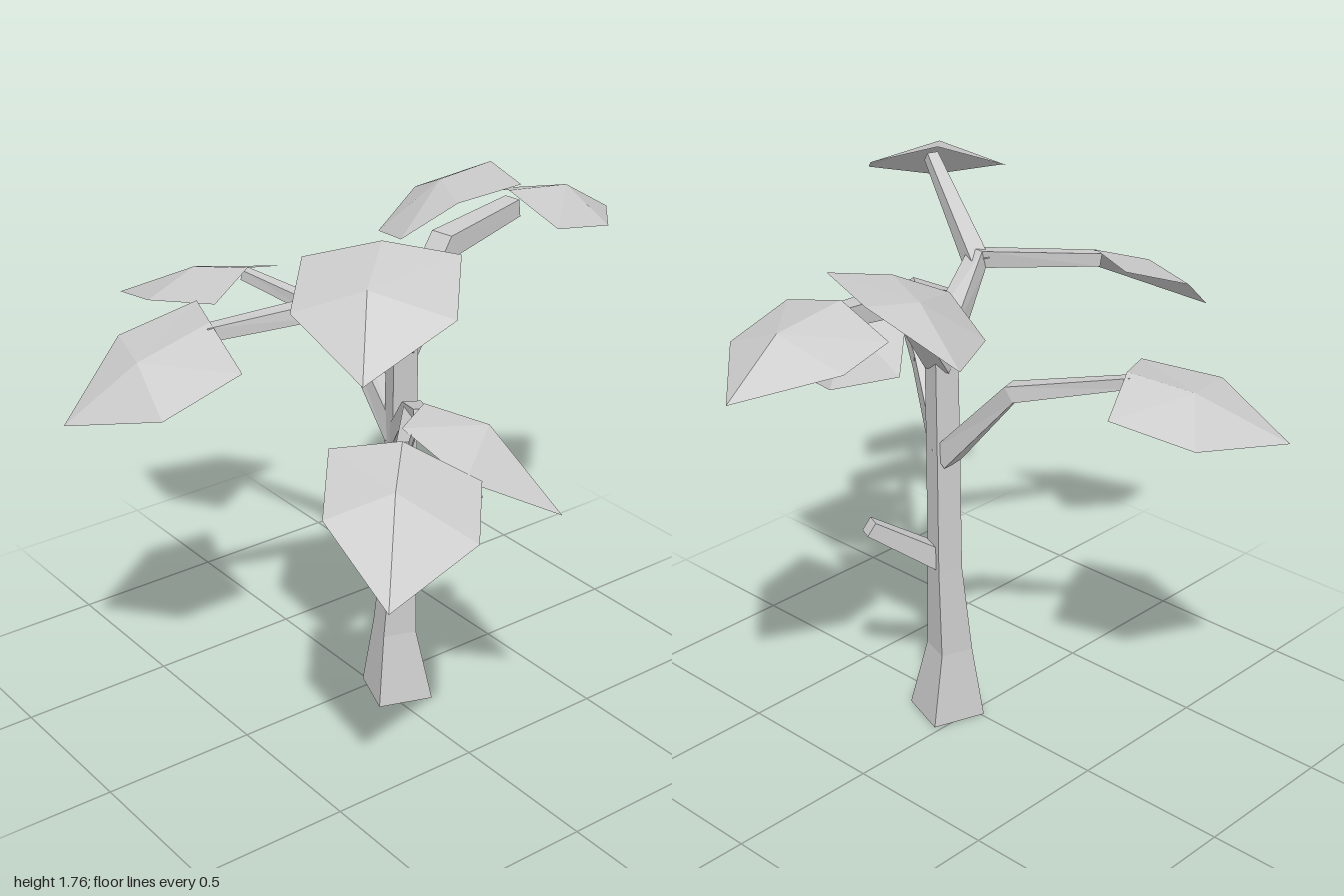
import * as THREE from 'three';

const material = new THREE.MeshStandardMaterial({ color: 0xcccccc, flatShading: true, side: THREE.DoubleSide });

function makeMesh(name, positions, index) {
  let geometry = new THREE.BufferGeometry();
  geometry.setAttribute('position', new THREE.Float32BufferAttribute(positions, 3));
  geometry.setIndex(index);
  geometry = geometry.toNonIndexed();
  geometry.computeVertexNormals();
  const mesh = new THREE.Mesh(geometry, material);
  mesh.name = name;
  return mesh;
}

// Four-sided tapered limb through stations [x, y, z, radius].
// Upright limbs keep level rings; others turn with the path.
function limb(name, stations, spin = Math.PI / 4, upright = false) {
  const centres = stations.map(([x, y, z]) => new THREE.Vector3(x, y, z));
  const up = new THREE.Vector3(0, 1, 0);
  const positions = [], index = [], last = stations.length - 1;
  centres.forEach((c, i) => {
    const before = c.clone().sub(centres[Math.max(i - 1, 0)]).normalize();
    const after = centres[Math.min(i + 1, last)].clone().sub(c).normalize();
    const t = upright ? up : before.add(after).normalize();
    const u = upright ? new THREE.Vector3(1, 0, 0) : up.clone().cross(t).normalize();
    const v = t.clone().cross(u);
    for (let k = 0; k < 4; k++) {
      const a = spin + k * Math.PI / 2, r = stations[i][3];
      const p = c.clone().addScaledVector(u, r * Math.cos(a)).addScaledVector(v, r * Math.sin(a));
      positions.push(p.x, p.y, p.z);
    }
  });
  for (let i = 0; i < last; i++) {
    for (let k = 0; k < 4; k++) {
      const a = i * 4 + k, b = i * 4 + (k + 1) % 4;
      index.push(a, b, b + 4, a, b + 4, a + 4);
    }
  }
  const e = last * 4;
  index.push(0, 2, 1, 0, 3, 2, e, e + 1, e + 2, e, e + 2, e + 3);
  return makeMesh(name, positions, index);
}

// Folded leaf: a fan around a raised centre.
// Outline order: stem, base corner, side, tip, side, base corner.
function leaf(name, centre, outline) {
  const index = [];
  for (let i = 0; i < 6; i++) index.push(0, 1 + i, 1 + (i + 1) % 6);
  // Keep the upper face as the front
  let area = 0;
  outline.forEach((p, i) => {
    const q = outline[(i + 1) % 6];
    area += p[2] * q[0] - p[0] * q[2];
  });
  if (area < 0) index.reverse();
  return makeMesh(name, [centre, ...outline].flat(), index);
}

export function createModel() {
  const tree = new THREE.Group();
  tree.name = 'tree';

  // Trunk with a flared foot
  tree.add(limb('trunk', [
    [0.045, 0, 0.075, 0.127], [0.037, 0.24, 0.07, 0.077], [0.05, 0.54, 0.077, 0.058],
    [0.045, 0.9, 0.085, 0.056], [0.035, 1.3, 0.1, 0.054],
  ], -1.124, true));

  // Branches
  const branches = {
    stubBranch: [[0.05, 0.56, 0.09, 0.05], [0.27, 0.72, 0.19, 0.035]],
    upperRightwardBranch: [[0.03, 1.24, 0.1, 0.06], [0.24, 1.51, 0.05, 0.055], [0.54, 1.55, 0.01, 0.04]],
    upperLeftwardBranch: [[0.05, 1.27, 0.1, 0.065], [-0.22, 1.48, 0.19, 0.042], [-0.6, 1.42, 0.02, 0.03]],
    upperFrontBranch: [[-0.21, 1.46, 0.18, 0.045], [-0.32, 1.72, 0.49, 0.026]],
    lowerFrontBranch: [[0.045, 0.92, 0.08, 0.05], [-0.09, 1.14, 0.31, 0.04], [-0.17, 1.2, 0.45, 0.028]],
    lowerFrontTwig: [[-0.08, 1.13, 0.3, 0.036], [-0.36, 1.22, 0.61, 0.024]],
    backBranch: [[0.05, 0.93, 0.07, 0.05], [0.04, 1.225, -0.2, 0.038], [-0.11, 1.31, -0.53, 0.024]],
  };
  for (const [name, path] of Object.entries(branches)) tree.add(limb(name, path));

  // Leaves
  tree.add(
    leaf('outerRightwardLeaf', [0.77, 1.57, 0], [
      [0.53, 1.6, 0], [0.53, 1.54, 0.23], [0.77, 1.49, 0.2],
      [0.99, 1.44, -0.04], [0.73, 1.5, -0.22], [0.55, 1.54, -0.21]]),
    leaf('innerRightwardLeaf', [0.41, 1.61, -0.19], [
      [0.31, 1.61, 0.02], [0.5, 1.65, 0.09], [0.59, 1.64, -0.16],
      [0.5, 1.5, -0.43], [0.22, 1.46, -0.26], [0.13, 1.52, -0.03]]),
    leaf('leftwardLeaf', [-0.81, 1.37, -0.02], [
      [-0.59, 1.45, 0.02], [-0.63, 1.38, 0.24], [-0.85, 1.27, 0.17],
      [-1, 1.19, -0.12], [-0.74, 1.36, -0.24], [-0.52, 1.44, -0.16]]),
    leaf('upperFrontLeaf', [-0.48, 1.71, 0.61], [
      [-0.31, 1.76, 0.45], [-0.46, 1.7, 0.29], [-0.62, 1.63, 0.46],
      [-0.615, 1.53, 0.77], [-0.3, 1.63, 0.76], [-0.14, 1.72, 0.58]]),
    leaf('lowerFrontInnerLeaf', [-0.05, 1.2, 0.61], [
      [-0.15, 1.23, 0.44], [0.01, 1.11, 0.31], [0.11, 1.03, 0.53],
      [0.02, 0.99, 0.85], [-0.25, 1.14, 0.75], [-0.3, 1.23, 0.53]]),
    leaf('lowerFrontOuterLeaf', [-0.5, 1.19, 0.76], [
      [-0.36, 1.24, 0.61], [-0.5, 1.2, 0.46], [-0.66, 1.11, 0.65],
      [-0.66, 0.96, 0.94], [-0.34, 1.05, 0.92], [-0.2, 1.13, 0.76]]),
    leaf('backLeaf', [-0.19, 1.3, -0.7], [
      [-0.11, 1.335, -0.51], [-0.3, 1.29, -0.41], [-0.41, 1.26, -0.63],
      [-0.33, 1.17, -0.94], [-0.03, 1.21, -0.83], [0.08, 1.27, -0.6]]),
  );
  return tree;
}
